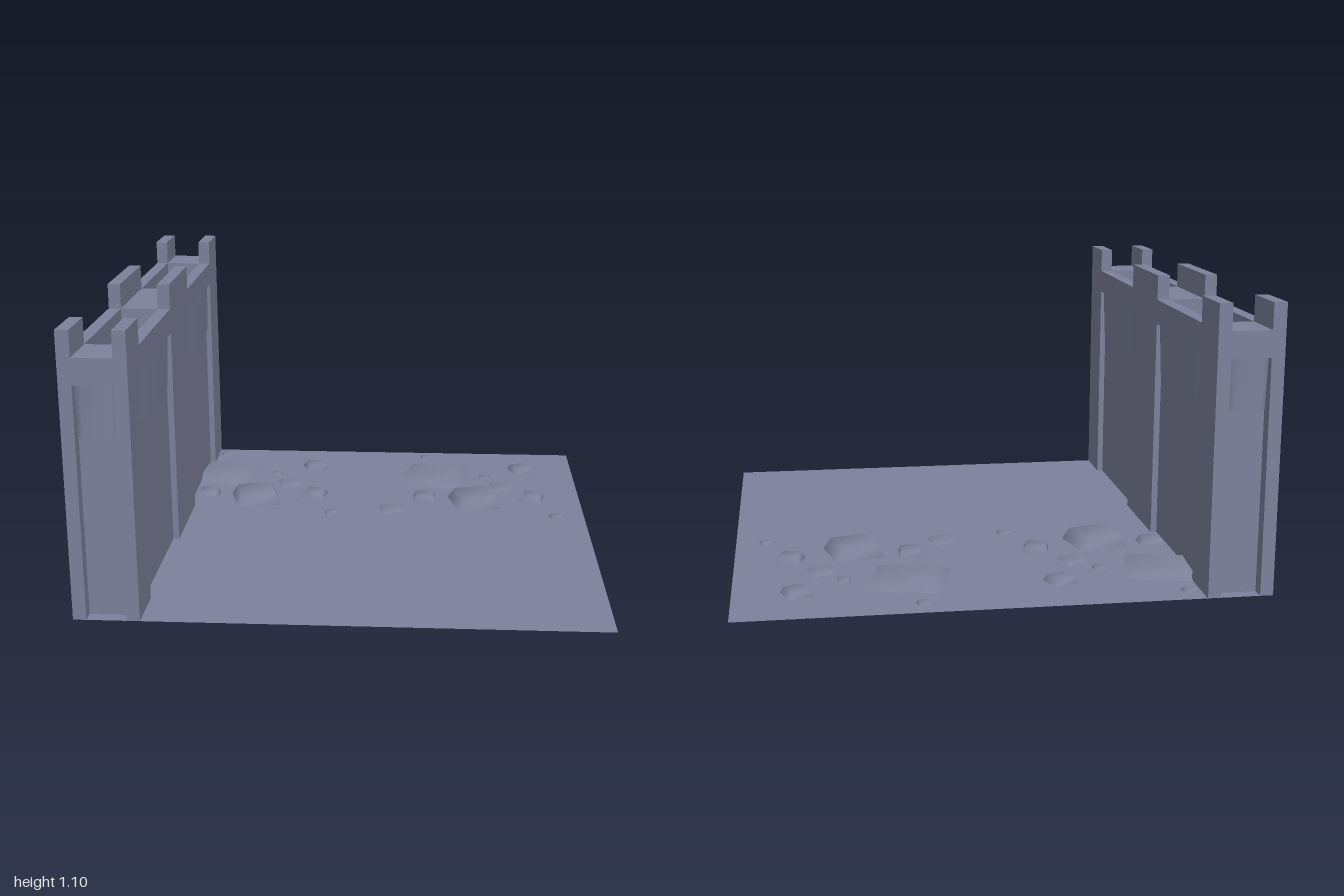
import * as THREE from 'three';
import { mergeVertices } from 'three/addons/utils/BufferGeometryUtils.js';

const stone = new THREE.MeshStandardMaterial({ color: 0x7d819a });
stone.name = 'blueGreyStone';
const groundStone = stone.clone();
groundStone.name = 'blueGreyGround';
groundStone.side = THREE.DoubleSide;

function add(parent, name, geometry, material = stone) {
  const mesh = new THREE.Mesh(geometry, material);
  mesh.name = name;
  parent.add(mesh);
  return mesh;
}

// Box given by its minimum and maximum corners
function block(parent, name, [x0, y0, z0], [x1, y1, z1]) {
  const mesh = add(parent, name, new THREE.BoxGeometry(x1 - x0, y1 - y0, z1 - z0));
  mesh.position.set((x0 + x1) / 2, (y0 + y1) / 2, (z0 + z1) / 2);
  return mesh;
}

// Bracket whose face swells from flush ends to a proud middle; back lies on z = 0
function corbelGeometry(width, height, depth) {
  const g = new THREE.BoxGeometry(width, height, depth, 3, 1, 1);
  const p = g.attributes.position;
  for (let i = 0; i < p.count; i++) {
    const x = p.getX(i);
    const outer = Math.abs(x) > width * 0.4;
    if (!outer) p.setX(i, Math.sign(x) * width / 3);
    const front = p.getZ(i) > 0;
    const low = p.getY(i) < 0;
    p.setZ(i, front ? (outer ? depth * (low ? 0.15 : 0.5) : depth) : 0);
  }
  g.computeVertexNormals();
  return g;
}

// Low cobble: square frustum with soft normals and no underside
function cobbleGeometry(size, height) {
  const g = new THREE.BoxGeometry(size, height, size);
  g.translate(0, height / 2, 0);
  const p = g.attributes.position;
  const top = size > 0.25 ? 0.6 : 0.76;
  for (let i = 0; i < p.count; i++) {
    if (p.getY(i) > height / 2) {
      p.setX(i, p.getX(i) * top);
      p.setZ(i, p.getZ(i) * top);
    }
  }
  const index = Array.from(g.index.array);
  index.splice(18, 6);
  g.setIndex(index);
  g.deleteAttribute('normal');
  g.deleteAttribute('uv');
  const merged = mergeVertices(g);
  merged.computeVertexNormals();
  return merged;
}

function buildWall() {
  const wall = new THREE.Group();
  wall.name = 'wall';

  // Pillars
  block(wall, 'middlePillar', [-1, 0, -0.2], [-0.75, 1, 0.2]);
  for (const s of [1, -1]) {
    const span = (a, b) => (s > 0 ? [a, b] : [-b, -a]);
    const [c0, c1] = span(0.8, 0.95);
    block(wall, 'endPillar', [-1, 0, c0], [-0.75, 1, c1]);

    // Slot in the end face
    const [e0, e1] = span(0.95, 1);
    block(wall, 'endPost', [-1, 0, e0], [-0.95, 1, e1]);
    block(wall, 'endPost', [-0.8, 0, e0], [-0.75, 1, e1]);
    block(wall, 'endLintel', [-0.95, 0.9, e0], [-0.8, 1, e1]);
    const endCorbel = add(wall, 'endCorbel', corbelGeometry(0.15, 0.2, 0.04));
    endCorbel.position.set(-0.875, 0.8, s * 0.95);
    endCorbel.rotation.y = s > 0 ? 0 : Math.PI;

    // Recessed bay with a sunken walkway
    const [b0, b1] = span(0.2, 0.8);
    block(wall, 'bayPanel', [-0.975, 0, b0], [-0.775, 0.9, b1]);
    for (const side of [1, -1]) {
      const corbel = add(wall, 'bayCorbel', corbelGeometry(0.6, 0.2, 0.022));
      corbel.position.set(-0.875 + side * 0.1, 0.8, s * 0.5);
      corbel.rotation.y = side * Math.PI / 2;
    }
    for (const x of [-1, -0.8]) {
      block(wall, 'parapet', [x, 0.9, b0], [x + 0.05, 1, b1]);
    }
  }

  // Merlons along both edges
  for (const x of [-1, -0.8]) {
    for (const [z0, z1] of [[-1, -0.8], [-0.2, 0.2], [0.8, 1]]) {
      block(wall, 'merlon', [x, 1, z0], [x + 0.05, 1.1, z1]);
    }
  }
  return wall;
}

function buildCobbles() {
  const cobbles = new THREE.Group();
  cobbles.name = 'cobbles';
  // x, z, size, height, turn in degrees
  const layout = [
    [0.295, -0.915, 0.05, 0.012, 15],
    [0.755, -0.75, 0.1, 0.025, 20],
    [0.575, -0.63, 0.05, 0.012, 0],
    [0.33, -0.645, 0.29, 0.025, -15],
    [0.655, -0.515, 0.1, 0.012, 15],
    [0.29, -0.34, 0.1, 0.025, 0],
    [0.52, -0.3, 0.2, 0.05, 15],
    [0.78, -0.36, 0.1, 0.025, -15],
    [0.875, -0.135, 0.05, 0.012, 15],
    [0.145, -0.195, 0.1, 0.012, 15],
  ];
  for (const shift of [0, -1]) {
    for (const [x, z, size, height, turn] of layout) {
      if (x + shift < -0.8) continue; // buried in the wall
      const cobble = add(cobbles, 'cobble', cobbleGeometry(size, height));
      cobble.position.set(x + shift, 0, z);
      cobble.rotation.y = THREE.MathUtils.degToRad(turn);
    }
  }
  return cobbles;
}

export function createModel() {
  const model = new THREE.Group();
  model.name = 'castleWallCorner';
  const ground = add(model, 'ground', new THREE.PlaneGeometry(2, 2), groundStone);
  ground.rotation.x = -Math.PI / 2;
  model.add(buildWall(), buildCobbles());
  return model;
}
